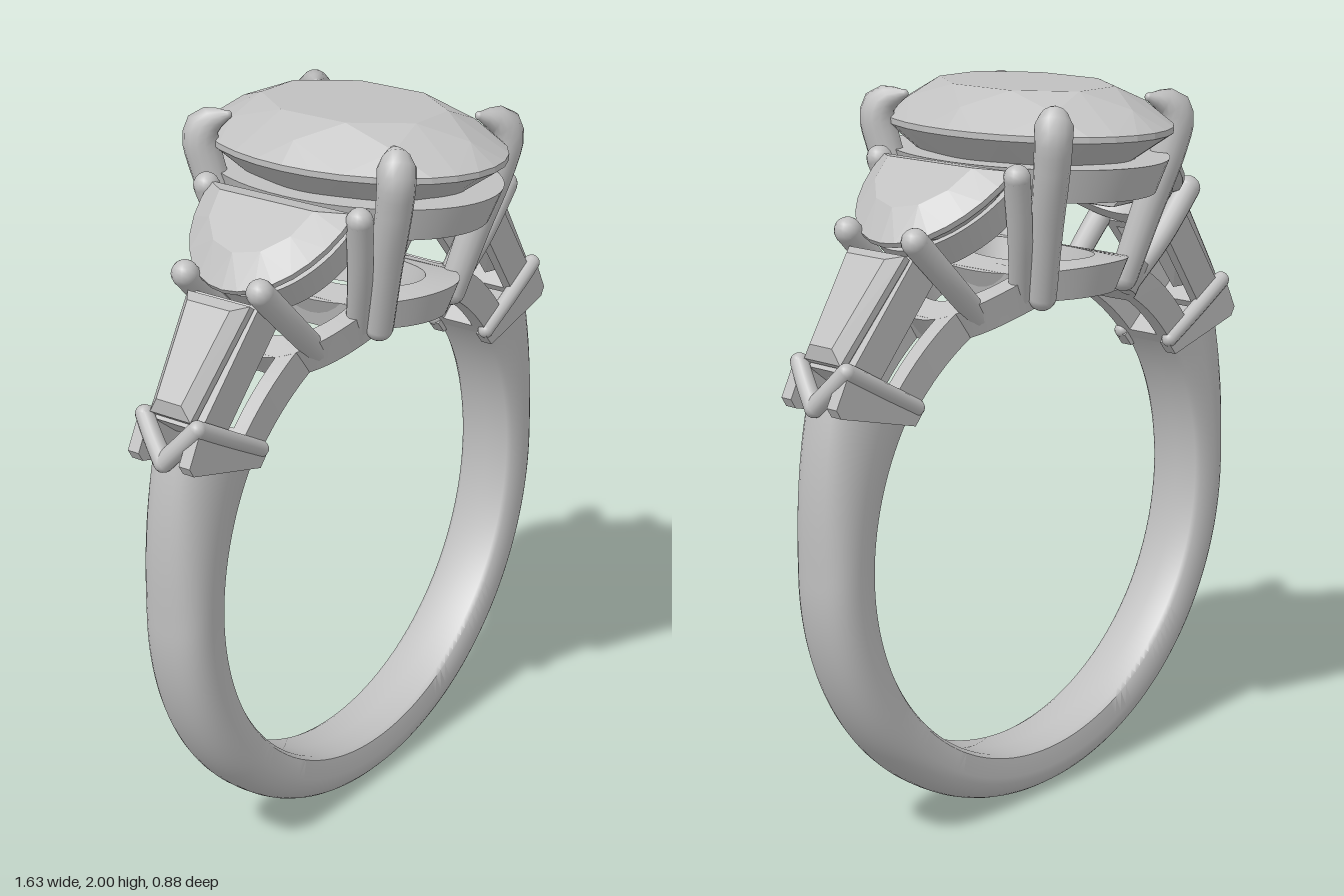
import * as THREE from 'three';
import { toCreasedNormals } from 'three/addons/utils/BufferGeometryUtils.js';
import { ConvexGeometry } from 'three/addons/geometries/ConvexGeometry.js';

const V = (x, y, z) => new THREE.Vector3(x, y, z);
const rad = THREE.MathUtils.degToRad;
const lerp = THREE.MathUtils.lerp;
const CY = 0.8, R_IN = 0.665, R_RAIL = 0.755; // finger hole centre, hole radius, top of lower rails

export function createModel() {
  const silver = new THREE.MeshStandardMaterial({ color: 0xc0c0c0 });
  silver.name = 'silver grey';
  const model = new THREE.Group();
  model.name = 'ring';

  const add = (parent, name, geometry) => {
    const mesh = new THREE.Mesh(geometry, silver);
    mesh.name = name;
    parent.add(mesh);
    return mesh;
  };
  const addGroup = (parent, name) => {
    const g = new THREE.Group();
    g.name = name;
    parent.add(g);
    return g;
  };

  // Closed skin over loops of points, turned outward by its signed volume
  function loft(rows, closed, crease) {
    const n = rows[0].length, m = rows.length, pts = rows.flat(), idx = [];
    for (let i = 0; i < (closed ? m : m - 1); i++) {
      for (let j = 0; j < n; j++) {
        const a = i * n + j, b = i * n + (j + 1) % n;
        const c = ((i + 1) % m) * n + j, d = ((i + 1) % m) * n + (j + 1) % n;
        idx.push(a, b, c, b, d, c);
      }
    }
    if (!closed) {
      for (const [row, first] of [[0, true], [m - 1, false]]) {
        const centre = rows[row].reduce((s, p) => s.add(p), V(0, 0, 0)).divideScalar(n);
        const k = pts.push(centre) - 1;
        for (let j = 0; j < n; j++) {
          const a = row * n + j, b = row * n + (j + 1) % n;
          first ? idx.push(k, b, a) : idx.push(k, a, b);
        }
      }
    }
    let volume = 0;
    for (let i = 0; i < idx.length; i += 3) {
      volume += pts[idx[i]].dot(V(0, 0, 0).crossVectors(pts[idx[i + 1]], pts[idx[i + 2]]));
    }
    if (volume < 0) idx.reverse();
    const g = new THREE.BufferGeometry().setFromPoints(pts);
    g.setIndex(idx);
    return toCreasedNormals(g, crease);
  }

  // Plan outlines as [x, z] points
  const oval = (a, b, n = 64) => Array.from({ length: n }, (_, i) => {
    const t = i / n * Math.PI * 2;
    return [a * Math.cos(t), b * Math.sin(t)];
  });
  const halfMoon = (x0, length, half, arc = 32, flat = 12) => {
    const p = [];
    for (let i = 0; i <= arc; i++) {
      const t = -Math.PI / 2 + i / arc * Math.PI;
      p.push([x0 + length * Math.cos(t), half * Math.sin(t)]);
    }
    for (let i = 1; i < flat; i++) p.push([x0, half * (1 - 2 * i / flat)]);
    return p;
  };
  const wedge = (x0, x1, h0, h1, n = 10) => {
    const p = [], corners = [[x0, -h0], [x1, -h1], [x1, h1], [x0, h0]];
    corners.forEach((c, k) => {
      const d = corners[(k + 1) % 4];
      for (let i = 0; i < n; i++) p.push([lerp(c[0], d[0], i / n), lerp(c[1], d[1], i / n)]);
    });
    return p;
  };

  // Rail: an outline with a hole, between two heights, slightly narrower below
  function rail(outline, cx, kx, kz, h0, h1, taper, place) {
    const loop = (h, hole) => outline.map(([x, z]) => {
      const s = h === h0 ? taper : 1;
      return place(cx + (x - cx) * s * (hole ? kx : 1), h, z * s * (hole ? kz : 1));
    });
    return loft([loop(h0, false), loop(h1, false), loop(h1, true), loop(h0, true)], true, rad(35));
  }
  const straight = (x, h, z) => V(x, h, z);
  const bent = (x, h, z) => V(h * Math.sin(x / 0.71), CY + h * Math.cos(x / 0.71), z);

  // Round wire with changing thickness and rounded ends
  function prong(parent, name, points, r0, r1, tip = r1) {
    const group = addGroup(parent, name), steps = 24, sides = 14;
    const path = new THREE.CatmullRomCurve3(points.map(p => V(...p)));
    const tube = new THREE.TubeGeometry(path, steps, 1, sides);
    const pos = tube.attributes.position, v = V(0, 0, 0);
    for (let i = 0; i <= steps; i++) {
      const u = i / steps, c = path.getPointAt(u);
      const r = u < 0.88 ? lerp(r0, r1, u / 0.88) : lerp(r1, tip, (u - 0.88) / 0.12);
      for (let j = 0; j <= sides; j++) {
        const k = i * (sides + 1) + j;
        v.fromBufferAttribute(pos, k).sub(c).multiplyScalar(r).add(c);
        pos.setXYZ(k, v.x, v.y, v.z);
      }
    }
    add(group, name + 'Wire', tube);
    for (const [p, r] of [[points[0], r0], [points[points.length - 1], tip]]) {
      add(group, name + 'End', new THREE.SphereGeometry(r, 14, 10)).position.set(...p);
    }
  }

  // Band: rounded section swept round the hole, thicker at the shoulders
  const section = [[0.06, -0.088], [0, -0.075], [0, 0], [0, 0.075], [0.06, 0.088]];
  for (let i = 0; i <= 16; i++) {
    const t = i / 16 * Math.PI, c = Math.cos(t);
    section.push([0.45 + 0.55 * Math.sin(t) ** 0.85, 0.095 * Math.sign(c) * Math.abs(c) ** 0.75]);
  }
  const bandRows = [];
  for (let i = 0; i <= 120; i++) {
    const t = i / 60 - 1, e = -90 + Math.abs(t) * 121;
    const thick = 0.135 + 0.01 * Math.min(1, (e + 90) / 90) + 0.075 * (Math.max(0, e) / 27) ** 1.7;
    bandRows.push(section.map(([k, z]) => {
      const a = rad(-90 + t * (121 + 9 * (1 - k))), r = R_IN + thick * k;
      return V(r * Math.cos(a), CY + r * Math.sin(a), z);
    }));
  }
  add(model, 'band', loft(bandRows, false, rad(50)));

  // Centre stone
  const stone = [V(0, 1.61, 0)];
  const layer = (count, shift, k, y) => {
    for (let i = 0; i < count; i++) {
      const t = (i + shift) / count * Math.PI * 2;
      stone.push(V(0.305 * k * Math.cos(t), y, 0.44 * k * Math.sin(t)));
    }
  };
  layer(8, 0.5, 0.61, 2);
  layer(8, 0, 0.83, 1.956);
  layer(32, 0, 1, 1.904);
  layer(32, 0, 1, 1.888);
  layer(8, 0, 0.6, 1.765);
  add(model, 'centreStone', new ConvexGeometry(stone));

  // Centre setting: upper and lower oval rails with four claws
  add(model, 'upperOvalRail', rail(oval(0.295, 0.43), 0, 0.7, 0.79, 1.73, 1.82, 0.91, straight));
  add(model, 'lowerOvalRail', rail(oval(0.205, 0.31), 0, 0.58, 0.7, R_IN, R_RAIL, 0.9, bent));
  for (const sx of [1, -1]) {
    for (const sz of [1, -1]) {
      prong(model, 'centreClaw', [[0.165, 1.475, 0.205], [0.2, 1.65, 0.25], [0.235, 1.83, 0.3],
        [0.243, 1.91, 0.312], [0.228, 1.945, 0.3], [0.19, 1.962, 0.265]]
        .map(([x, y, z]) => [sx * x, y, sz * z]), 0.038, 0.05, 0.012);
    }
  }

  // One shoulder with its side stones; the other is the same turned half round
  function shoulder(name) {
    const side = addGroup(model, name);

    // Half-moon stone and its rail
    const moon = addGroup(side, 'halfMoonSetting');
    moon.position.set(0.305, 1.82, 0);
    moon.rotation.z = rad(-36);
    const moonPts = [V(0.1, -0.16, 0.06), V(0.1, -0.16, -0.06), V(0.15, -0.14, 0)];
    for (const [x, z] of halfMoon(0, 0.3, 0.23, 16, 1)) moonPts.push(V(x, 0, z), V(x, -0.015, z));
    for (const [x, z] of halfMoon(0.045, 0.17, 0.15, 6, 1)) moonPts.push(V(x, 0.043, z));
    add(moon, 'halfMoonStone', new ConvexGeometry(moonPts));
    add(moon, 'halfMoonRail',
      rail(halfMoon(0, 0.28, 0.215), 0.11, 0.62, 0.74, -0.13, -0.045, 0.93, straight));

    // Tapered baguette stone and its rail
    const baguette = addGroup(side, 'baguetteSetting');
    baguette.position.set(0.56, 1.625, 0);
    baguette.rotation.z = rad(-52);
    const bagPts = [V(0.06, -0.11, 0), V(0.27, -0.11, 0)];
    for (const z of [1, -1]) {
      for (const y of [0, -0.02]) bagPts.push(V(0, y, 0.1 * z), V(0.32, y, 0.065 * z));
      bagPts.push(V(0.03, 0.028, 0.068 * z), V(0.29, 0.028, 0.04 * z));
    }
    add(baguette, 'baguetteStone', new ConvexGeometry(bagPts));
    add(baguette, 'baguetteRail',
      rail(wedge(-0.01, 0.33, 0.108, 0.085), 0.16, 0.85, 0.7, -0.125, -0.025, 1, straight));

    // Lower rails that follow the finger hole
    add(side, 'lowerHalfMoonRail',
      rail(halfMoon(0.15, 0.27, 0.2), 0.25, 0.58, 0.68, R_IN, R_RAIL, 0.95, bent));
    add(side, 'lowerBaguetteRail',
      rail(wedge(0.37, 0.65, 0.105, 0.09), 0.51, 0.72, 0.55, R_IN, R_RAIL, 1, bent));

    // Side claws and shoulder collar
    const plate = new THREE.Shape([[0.5, 1.215], [0.53, 1.18], [0.79, 1.25], [0.805, 1.275], [0.755, 1.37]]
      .map(p => new THREE.Vector2(...p)));
    for (const s of [1, -1]) {
      prong(side, 'halfMoonClaw',
        [[0.2, 1.47, 0.16 * s], [0.255, 1.64, 0.21 * s], [0.305, 1.805, 0.245 * s]], 0.03, 0.035);
      prong(side, 'sharedClaw',
        [[0.3, 1.425, 0.11 * s], [0.425, 1.54, 0.122 * s], [0.545, 1.66, 0.12 * s]], 0.032, 0.036);
      prong(side, 'collarBar',
        [[0.515, 1.225, 0.088 * s], [0.64, 1.295, 0.088 * s], [0.755, 1.36, 0.085 * s]], 0.022, 0.024);
      prong(side, 'collarTip',
        [[0.755, 1.36, 0.085 * s], [0.772, 1.31, 0.043 * s], [0.787, 1.262, 0]], 0.024, 0.026);
      add(side, 'collarPlate', new THREE.ExtrudeGeometry(plate, { depth: 0.035, bevelEnabled: false }))
        .position.z = s > 0 ? 0.065 : -0.1;
    }
    return side;
  }
  shoulder('leftShoulder');
  shoulder('rightShoulder').rotation.y = Math.PI;

  return model;
}
